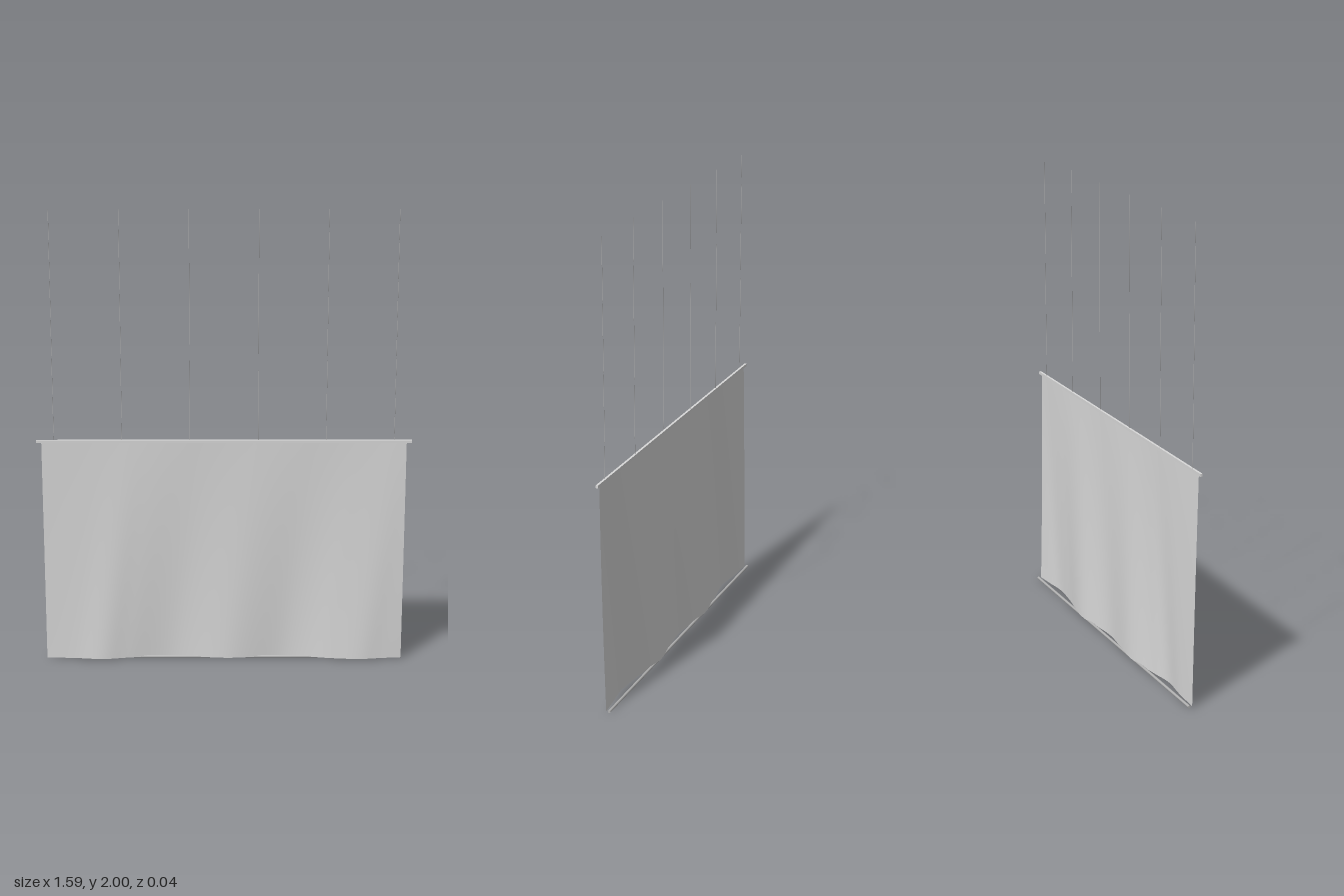
import * as THREE from 'three';

const fabric = new THREE.MeshStandardMaterial({ name: 'pale fabric', color: 0xd8d8d8, side: THREE.DoubleSide });
const railMetal = new THREE.MeshStandardMaterial({ name: 'light metal', color: 0xd8d8d8 });
const greyMetal = new THREE.MeshStandardMaterial({ name: 'grey metal', color: 0xb0b0b0 });

const TOP_Z = 0.016, TOP_Y = 1.0, BOTTOM_Y = 0.006, HALF_WIDTH = 0.775;

function add(group, name, geometry, material, x, y, z) {
  const mesh = new THREE.Mesh(geometry, material);
  mesh.name = name;
  mesh.position.set(x, y, z);
  group.add(mesh);
  return mesh;
}

// Cloth: straight along the rail, with folds that swell and drift towards the hem
function clothGeometry() {
  const hem = new THREE.SplineCurve([
    [-0.95, -0.005], [-0.775, 0], [-0.65, 0.006], [-0.53, 0.018], [-0.42, 0.002],
    [-0.23, -0.021], [0.02, 0.005], [0.26, -0.021], [0.46, 0.008],
    [0.59, 0.019], [0.69, 0.008], [0.775, 0],
  ].map(([x, z]) => new THREE.Vector2(x, z)));
  const samples = hem.getPoints(220);
  const hemZ = (x) => {
    const i = Math.max(1, samples.findIndex((p) => p.x >= x));
    const a = samples[i - 1], b = samples[i];
    return THREE.MathUtils.mapLinear(x, a.x, b.x, a.y, b.y);
  };
  const height = TOP_Y - BOTTOM_Y;
  const geometry = new THREE.PlaneGeometry(HALF_WIDTH * 2, height, 72, 24);
  const pos = geometry.attributes.position;
  for (let i = 0; i < pos.count; i++) {
    const drop = 0.5 - pos.getY(i) / height;
    const x = Math.min(pos.getX(i) - 0.12 * (1 - drop), HALF_WIDTH - 0.001);
    pos.setZ(i, THREE.MathUtils.lerp(TOP_Z, hemZ(x), drop));
  }
  geometry.computeVertexNormals();
  return geometry;
}

export function createModel() {
  const model = new THREE.Group();
  model.name = 'hangingBanner';

  add(model, 'cloth', clothGeometry(), fabric, 0, (TOP_Y + BOTTOM_Y) / 2, 0);

  // Rail above and weight bar behind the hem
  add(model, 'topRail', new THREE.BoxGeometry(1.594, 0.012, 0.01), railMetal, 0, 1.004, TOP_Z);
  const bar = new THREE.CylinderGeometry(0.006, 0.006, HALF_WIDTH * 2, 12).rotateZ(Math.PI / 2);
  add(model, 'bottomBar', bar, greyMetal, 0, 0.006, -0.013);

  // Suspension cables
  const cable = new THREE.CylinderGeometry(0.001, 0.001, 0.99, 6);
  for (let i = 0; i < 6; i++) {
    add(model, 'cable' + (i + 1), cable, greyMetal, -0.722 + i * 0.2888, 1.505, TOP_Z);
  }
  return model;
}
